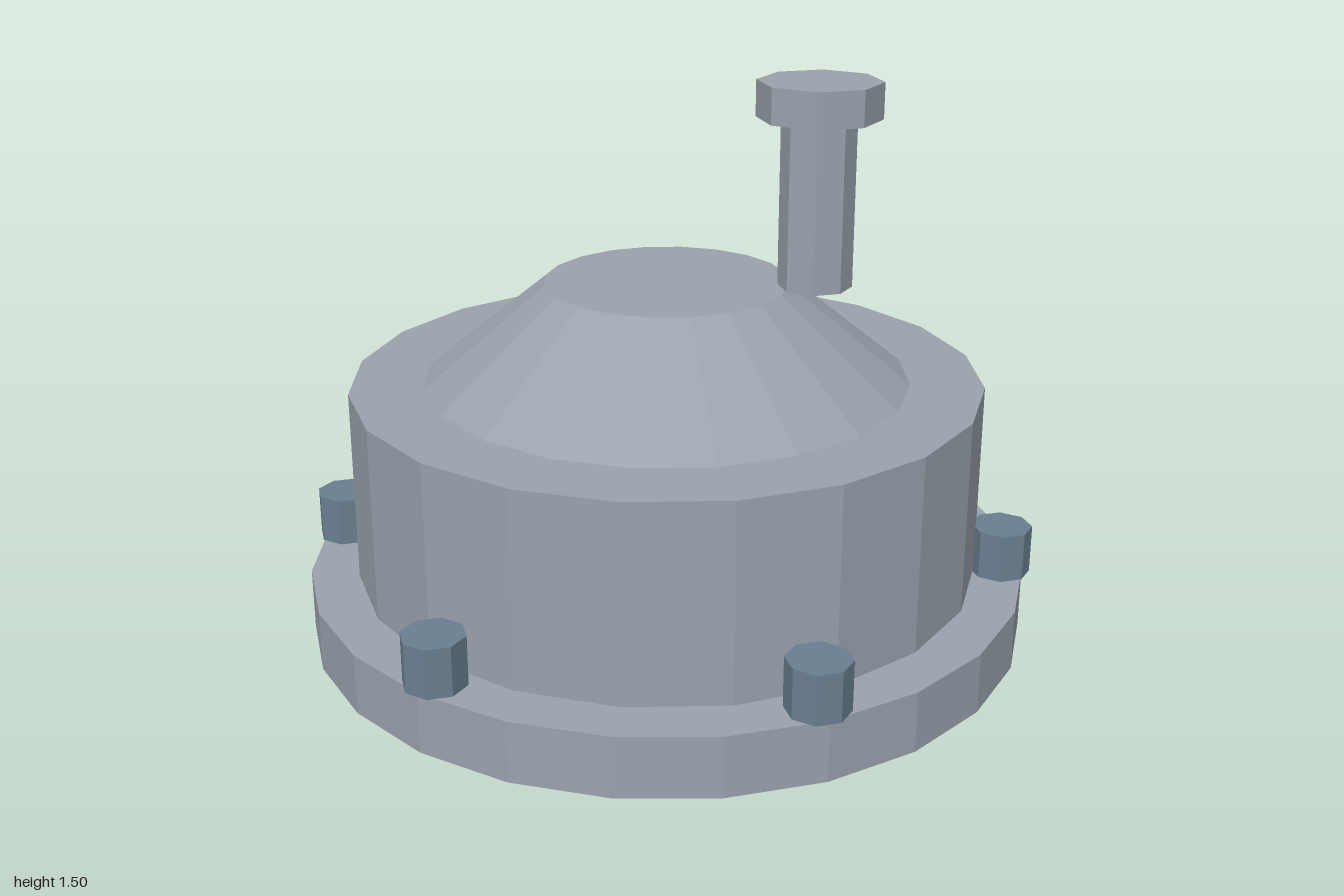
import * as THREE from 'three';

export function createModel() {
  const model = new THREE.Group();
  model.name = 'domedHousing';

  const steel = new THREE.MeshStandardMaterial({ color: 0x9aa2ad, flatShading: true });
  steel.name = 'pale steel';
  const boltBlue = new THREE.MeshStandardMaterial({ color: 0x6a7f91, flatShading: true });
  boltBlue.name = 'blue steel';

  // Upright faceted drum spanning y0..y1
  function drum(name, rTop, rBottom, y0, y1, sides, material, x = 0, z = 0) {
    const geometry = new THREE.CylinderGeometry(rTop, rBottom, y1 - y0, sides);
    const mesh = new THREE.Mesh(geometry, material);
    mesh.name = name;
    mesh.position.set(x, (y0 + y1) / 2, z);
    model.add(mesh);
  }

  // Flange, body and tapered lid
  drum('baseFlange', 0.98, 0.98, 0, 0.163, 24, steel);
  drum('body', 0.85, 0.85, 0.163, 0.688, 20, steel);
  drum('taperedLid', 0.327, 0.654, 0.688, 0.955, 20, steel);

  // Off-centre stem with its cap
  drum('stem', 0.098, 0.098, 0.955, 1.4, 8, steel, 0.392);
  drum('stemCap', 0.163, 0.163, 1.4, 1.495, 8, steel, 0.392);

  // Ring of six flange bolts
  for (let i = 0; i < 6; i++) {
    const a = (i * Math.PI) / 3;
    drum(`flangeBolt${i + 1}`, 0.082, 0.082, 0.163, 0.295, 8, boltBlue,
      0.918 * Math.cos(a), 0.918 * Math.sin(a));
  }

  return model;
}
